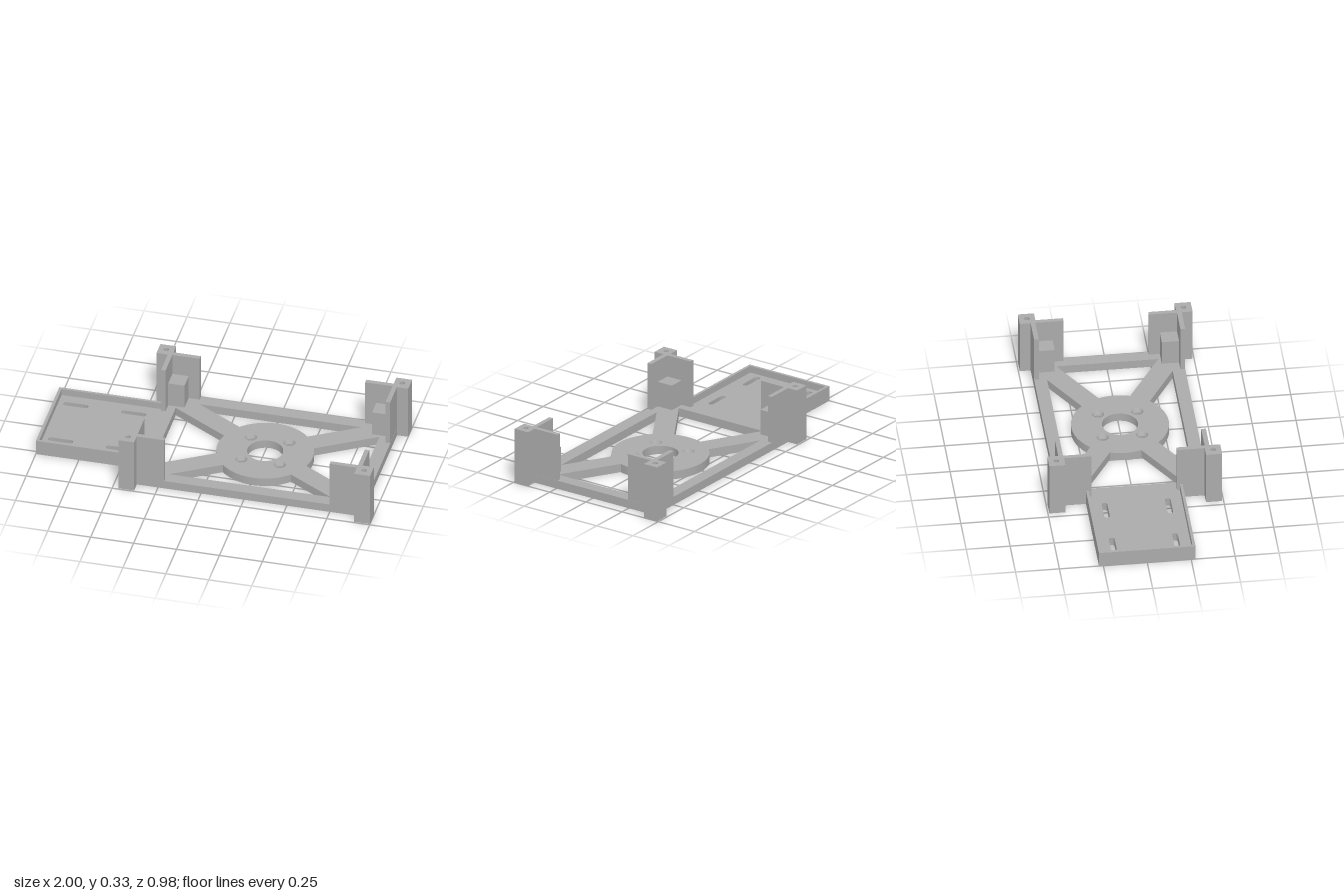
import * as THREE from 'three';
import { toCreasedNormals } from 'three/addons/utils/BufferGeometryUtils.js';

const CX = 0.267;      // centre of the main frame in x
const BASE = 0.05;     // thickness of the base plates
const TOP = 0.33;      // height of the corner posts

const grey = new THREE.MeshStandardMaterial({ color: 0xaaaaaa });
grey.name = 'grey plastic';

function mesh(name, geometry, parent) {
  const m = new THREE.Mesh(geometry, grey);
  m.name = name;
  parent.add(m);
  return m;
}

// Box given by its lower and upper limits
function box(name, parent, x0, x1, y0, y1, z0, z1) {
  const m = mesh(name, new THREE.BoxGeometry(x1 - x0, y1 - y0, z1 - z0), parent);
  m.position.set((x0 + x1) / 2, (y0 + y1) / 2, (z0 + z1) / 2);
  return m;
}

function rect(x0, x1, z0, z1) {
  return new THREE.Shape([[x0, z0], [x1, z0], [x1, z1], [x0, z1]].map(p => new THREE.Vector2(...p)));
}

function circle(x, z, r) {
  return new THREE.Path().absarc(x, z, r, 0, Math.PI * 2, false);
}

// Plate lying flat, drawn in plan
function plate(name, parent, shape, y0, y1) {
  const g = new THREE.ExtrudeGeometry(shape, { depth: y1 - y0, bevelEnabled: false, curveSegments: 24 });
  g.rotateX(-Math.PI / 2);
  const m = mesh(name, toCreasedNormals(g, 0.5), parent);
  m.position.y = y0;
  return m;
}

// Opening between two spokes: two rim corners, then an arc round the hub
function windowHole(a, b, from, to, clockwise) {
  const p = new THREE.Path();
  p.moveTo(CX + a[0], a[1]);
  p.lineTo(CX + b[0], b[1]);
  p.absarc(CX, 0, 0.277, from, to, clockwise);
  p.closePath();
  return p;
}

export function createModel() {
  const model = new THREE.Group();
  model.name = 'mountingFrame';

  // Frame with spokes and hub
  const frame = rect(-0.4, 0.935, -0.43, 0.43);
  const steep = Math.atan2(0.193, 0.197), flat = Math.atan2(0.09, 0.262), PI = Math.PI;
  frame.holes.push(
    windowHole([-0.47, 0.357], [0.47, 0.357], steep, PI - steep, false),
    windowHole([0.47, -0.357], [-0.47, -0.357], PI + steep, 2 * PI - steep, false),
    windowHole([0.593, 0.29], [0.593, -0.29], -flat, flat, false),
    windowHole([-0.593, -0.29], [-0.593, 0.29], PI - flat, PI + flat, false),
    circle(CX, 0, 0.102)
  );
  const screws = [[-1, -1], [-1, 1], [1, -1], [1, 1]].map(([a, b]) => [CX + a * 0.112, b * 0.112]);
  screws.forEach(([x, z]) => frame.holes.push(circle(x, z, 0.035)));
  plate('frame', model, frame, 0, BASE);

  // Countersunk screw holes in the hub
  const sinkProfile = [[0.035, BASE], [0.02, 0.025], [0.02, 0], [0.035, 0]].map(p => new THREE.Vector2(...p));
  const sink = toCreasedNormals(new THREE.LatheGeometry(sinkProfile, 48), 0.5);
  screws.forEach(([x, z]) => mesh('countersink', sink, model).position.set(x, 0, z));

  // Side tray with four slots
  const tray = new THREE.Group();
  tray.name = 'tray';
  model.add(tray);
  const floor = rect(-1, -0.4, -0.275, 0.275);
  for (const x of [-0.88, -0.543]) {
    for (const z of [-0.18, 0.18]) {
      const slot = new THREE.Path();
      slot.absarc(x + 0.056, z, 0.016, -PI / 2, PI / 2, false);
      slot.absarc(x - 0.056, z, 0.016, PI / 2, PI * 1.5, false);
      slot.closePath();
      floor.holes.push(slot);
    }
  }
  plate('trayFloor', tray, floor, 0, BASE);
  box('trayEndWall', tray, -1, -0.983, BASE, 0.09, -0.275, 0.275);
  for (const s of [-1, 1]) {
    const z = s * 0.267;
    box('traySideWall', tray, -0.983, -0.4, BASE, 0.09, z - 0.008, z + 0.008);
  }

  // Corner posts with their fins and support blocks, mirrored to four corners
  for (const sx of [-1, 1]) {
    for (const sz of [-1, 1]) {
      const corner = new THREE.Group();
      corner.name = (sz > 0 ? 'front' : 'back') + (sx > 0 ? 'Left' : 'Right') + 'Corner';
      model.add(corner);
      // Limits measured outward from the frame centre
      const part = (name, x0, x1, y0, y1, z0, z1) => {
        const xs = [CX + sx * x0, CX + sx * x1].sort((a, b) => a - b);
        const zs = [sz * z0, sz * z1].sort((a, b) => a - b);
        box(name, corner, ...xs, y0, y1, ...zs);
      };
      part('post', 0.641, 0.733, 0, 0.18, 0.4, 0.492);
      const x = CX + sx * 0.687, z = -sz * 0.446;
      const head = rect(x - 0.046, x + 0.046, z - 0.046, z + 0.046);
      head.holes.push(circle(x, z, 0.015));
      plate('postHead', corner, head, 0.18, TOP);
      part('longFin', 0.482, 0.641, BASE, TOP, 0.403, 0.43);
      part('shortFin', 0.641, 0.667, BASE, TOP, 0.243, 0.4);
      part('supportBlock', 0.546, 0.641, BASE, 0.2, 0.305, 0.403);
    }
  }
  return model;
}
